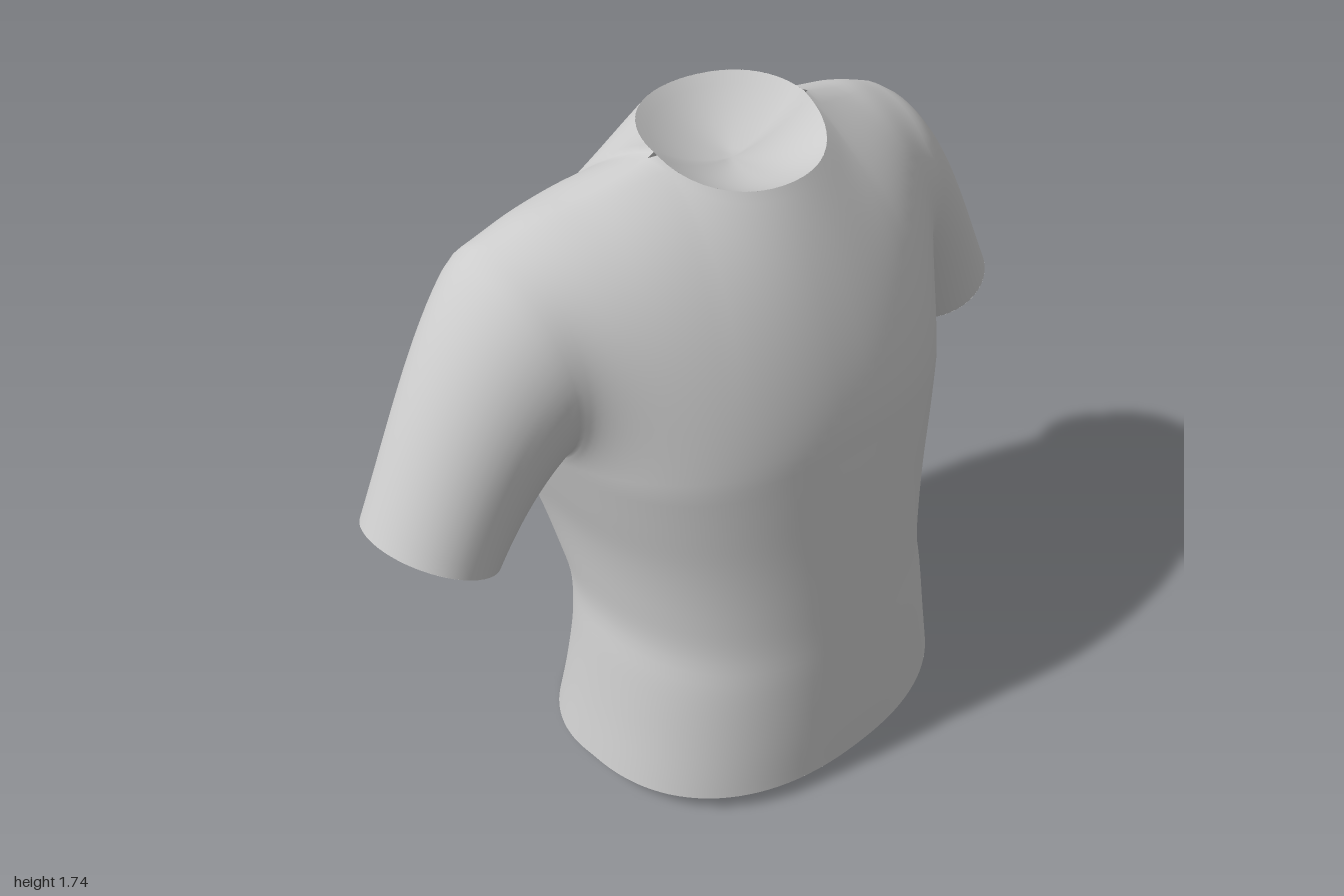
import * as THREE from 'three';
import { mergeGeometries, mergeVertices } from 'three/addons/utils/BufferGeometryUtils.js';

const { lerp, smoothstep } = THREE.MathUtils;
const COLS = 56, ROWS = 24, NECK = 0.4, HEM = 0.055, ARMPIT = 1.04;

// Torso table: height -> half width, front z, back z, side seam z
const heights = [HEM, 0.2, 0.4, 0.5, 0.62, 0.78, 0.92, ARMPIT];
const torsoData = [
  0.55, 0.46, -0.42, 0.0,
  0.52, 0.457, -0.39, 0.0,
  0.485, 0.447, -0.37, 0.0,
  0.468, 0.44, -0.395, -0.01,
  0.475, 0.432, -0.435, -0.03,
  0.497, 0.42, -0.453, -0.06,
  0.532, 0.41, -0.453, -0.1,
  0.562, 0.4, -0.447, -0.13,
];
const torsoSpline = new THREE.CubicInterpolant(heights, torsoData, 4, new Float32Array(4));
const ridgeSpline = new THREE.CubicInterpolant(
  [0.23, 0.3, 0.4, 0.5, 0.62], [1.715, 1.688, 1.652, 1.622, 1.57], 1, new Float32Array(1));

// Torso point: t runs from the right seam (-1) to the left seam (1)
function torso(t, y, back) {
  const [w, front, rear, seam] = torsoSpline.evaluate(y);
  const a = t * Math.PI / 2;
  const n = lerp(2.3, back ? 3.4 : 2.5, smoothstep(y, 0.5, ARMPIT));
  const sx = Math.sign(a) * Math.pow(Math.abs(Math.sin(a)), 2 / n);
  const cz = Math.pow(Math.max(0, Math.cos(a)), 2 / n);
  const z = seam + ((back ? rear : front) - seam) * cz;
  const drop = back ? 0.05 * cz * (1 - smoothstep(y, 0.05, 1.0)) : 0;
  return new THREE.Vector3(w * sx, y - drop, z);
}

// Upper edge of the chest and back panels: neckline, then shoulder ridge
function topEdge(t, back) {
  const side = Math.sign(t), m = Math.abs(t);
  if (m <= NECK) {
    const a = m / NECK * Math.PI / 2, c = Math.max(0, Math.cos(a));
    const y = back ? 1.715 + 0.03 * Math.sin(c * Math.PI / 2) : 1.64 + 0.075 * Math.pow(1 - c, 1.25);
    return new THREE.Vector3(side * 0.23 * Math.sin(a), y, -0.03 + (back ? -0.2 : 0.2) * c);
  }
  const k = (m - NECK) / (1 - NECK), x = lerp(0.23, 0.62, k);
  return new THREE.Vector3(side * x, ridgeSpline.evaluate(x)[0], lerp(-0.03, -0.15, k));
}

// Smooth guide edge that keeps the neck corner from creasing the cloth below it
function guideEdge(t, back) {
  const m = Math.abs(t), c = (Math.cos(Math.PI * m) + 1) / 2;
  return new THREE.Vector3(0.62 * t, lerp(back ? 1.745 : 1.66, 1.57, Math.pow(m, 1.6)),
    -0.15 + (back ? -0.08 : 0.32) * c);
}

// Chest or back panel: s runs from armpit level (0) to the upper edge (1)
function panel(t, s, back) {
  const b = torso(t, ARMPIT, back), m = Math.abs(t);
  const e = guideEdge(t, back).lerp(topEdge(t, back), s * s);
  const round = smoothstep(m, 0, 0.8), q = s * Math.PI / 2;
  const rise = lerp(lerp(s, Math.sin(q), round * 0.8), (1 - Math.cos(2 * q)) / 2, Math.pow(m, 4));
  const arc = Math.pow(Math.max(0, Math.cos(q)), 0.8);
  const fall = lerp(1 - Math.pow(s, back ? 2.3 : 1.6), arc, round);
  const bulge = (back ? -0.215 : 0.25) * Math.pow(m, 3) * Math.sin(2 * q);
  return new THREE.Vector3(lerp(b.x, e.x, rise), lerp(b.y, e.y, rise),
    lerp(e.z, b.z, lerp(fall, 1 - s, Math.pow(m, 6))) + bulge);
}

// Sleeve point: u runs round the armhole, v from armhole to cuff
function sleeve(side, u, v) {
  const back = u < 0.5, s = back ? u * 2 : 2 - u * 2;
  const start = panel(side, s, back), f = s * Math.PI;
  const cuff = new THREE.Vector3(side * (0.86 - 0.14 * Math.cos(f)),
    0.915 - 0.075 * Math.cos(f), -0.13 + (back ? -0.18 : 0.18) * Math.sin(f));
  const puff = (1 - Math.cos(f)) / 2 * Math.sin(Math.PI * Math.pow(v, 0.7));
  const taper = 1 - (1 - v) * (1 - v);
  return new THREE.Vector3(lerp(start.x, cuff.x, v) + side * 0.025 * puff,
    lerp(start.y, cuff.y, v) + 0.032 * puff, lerp(start.z, cuff.z, taper));
}

// Closed loop round the body: front from right to left, then back again
function around(u, reach, point) {
  const back = u > 0.5;
  return point(reach * (back ? 3 - 4 * u : 4 * u - 1), back);
}

// Grid of quads over a point function of (u, v) in 0..1
function sheet(nu, nv, point) {
  const pos = [], index = [];
  for (let j = 0; j <= nv; j++)
    for (let i = 0; i <= nu; i++) pos.push(...point(i / nu, j / nv).toArray());
  for (let j = 0; j < nv; j++)
    for (let i = 0; i < nu; i++) {
      const a = j * (nu + 1) + i, d = a + nu + 1;
      index.push(a, a + 1, d, a + 1, d + 1, d);
    }
  const g = new THREE.BufferGeometry();
  g.setAttribute('position', new THREE.Float32BufferAttribute(pos, 3));
  g.setIndex(index);
  return g;
}

// Weld matching points so the surface shades smoothly
function clothMesh(name, parts) {
  const cloth = mergeVertices(mergeGeometries(parts), 1e-4);
  cloth.computeVertexNormals();
  const mesh = new THREE.Mesh(cloth,
    new THREE.MeshStandardMaterial({ color: 0xcccccc, side: THREE.DoubleSide }));
  mesh.name = name;
  return mesh;
}

// Dished membrane that closes an opening, sunk by the given vector
function lining(name, ring, centre, sink) {
  return clothMesh(name, [sheet(64, 8, (u, v) =>
    ring(u).lerp(centre, v).addScaledVector(sink, 1 - (1 - v) * (1 - v)))]);
}

export function createModel() {
  const group = new THREE.Group();
  group.name = 'shirt';
  const parts = [];

  // Front and back halves of the torso, with the chest and back panels above
  for (const back of [false, true]) {
    const across = u => (back ? 1 - 2 * u : 2 * u - 1);
    parts.push(sheet(COLS, 32, (u, v) => torso(across(u), lerp(HEM, ARMPIT, v), back)));
    parts.push(sheet(COLS, ROWS, (u, v) => panel(across(u), v, back)));
  }
  // Sleeves, with a sunken lining in each cuff
  for (const side of [1, -1]) {
    parts.push(sheet(ROWS * 2, 16, (u, v) => sleeve(side, side > 0 ? u : 1 - u, v)));
    group.add(lining(side > 0 ? 'leftCuffLining' : 'rightCuffLining', u => sleeve(side, u, 1),
      new THREE.Vector3(side * 0.86, 0.915, -0.13), new THREE.Vector3(side * -0.04, 0.075, 0)));
  }
  group.add(clothMesh('shirtCloth', parts));

  // Neck and hem linings
  group.add(lining('neckLining', u => around(u, NECK, topEdge),
    new THREE.Vector3(0, 1.695, -0.03), new THREE.Vector3(0, -0.07, 0)));
  group.add(lining('hemLining', u => around(u, 1, (t, back) => torso(t, HEM, back)),
    new THREE.Vector3(0, 0.035, 0.02), new THREE.Vector3(0, 0.1, 0)));
  return group;
}
